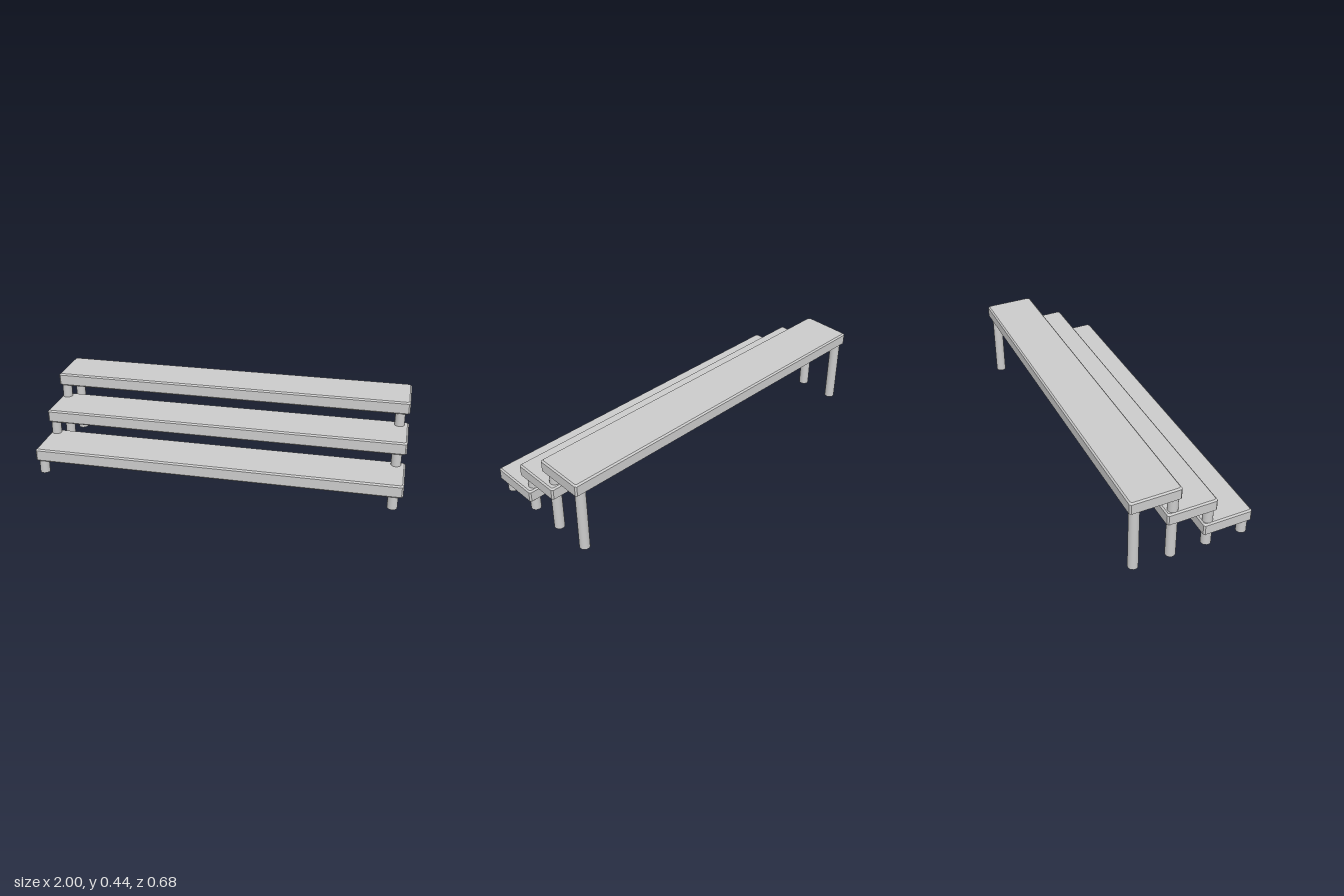
import * as THREE from 'three';

const LENGTH = 2, DEPTH = 0.273, THICK = 0.072, BEVEL = 0.008;

// Corner-cut rectangle, pulled in by an inset; scale 0 collapses it to the centre.
function ring(inset, y, scale = 1) {
  const hx = LENGTH / 2 - inset, hz = DEPTH / 2 - inset, c = BEVEL;
  return [
    [hx, -hz + c], [hx, hz - c], [hx - c, hz], [-hx + c, hz],
    [-hx, hz - c], [-hx, -hz + c], [-hx + c, -hz], [hx - c, -hz],
  ].map(([x, z]) => [x * scale, y, z * scale]);
}

// Bevelled plank, hollow from below, skinned ring by ring.
function plankGeometry() {
  const wall = BEVEL + 0.003, ceiling = THICK - 0.008;
  const rings = [
    ring(wall, ceiling, 0), ring(wall, ceiling), ring(wall, 0),
    ring(BEVEL, 0), ring(0, BEVEL), ring(0, THICK - BEVEL),
    ring(BEVEL, THICK), ring(BEVEL, THICK, 0),
  ];
  const pos = [];
  for (let r = 0; r < rings.length - 1; r++) {
    const a = rings[r], b = rings[r + 1];
    for (let i = 0; i < 8; i++) {
      const j = (i + 1) % 8;
      if (r < rings.length - 2) pos.push(...a[i], ...b[i], ...b[j]);
      else pos.push(...a[i], ...b[i], ...a[j]);
      if (r > 0 && r < rings.length - 2) pos.push(...a[i], ...b[j], ...a[j]);
    }
  }
  const geo = new THREE.BufferGeometry();
  geo.setAttribute('position', new THREE.Float32BufferAttribute(pos, 3));
  geo.computeVertexNormals();
  return geo;
}

export function createModel() {
  const group = new THREE.Group();
  group.name = 'tieredStand';
  const material = new THREE.MeshStandardMaterial({ color: 0xcccccc });

  // Three stepped planks: underside height and centre depth
  const plank = plankGeometry();
  [['lowerPlank', 0.074, 0.203], ['middlePlank', 0.218, -0.003], ['upperPlank', 0.363, -0.203]]
    .forEach(([name, y, z]) => {
      const mesh = new THREE.Mesh(plank, material);
      mesh.name = name;
      mesh.position.set(0, y, z);
      group.add(mesh);
    });

  // Round legs at both ends, each reaching the plank it carries
  const legs = [
    ['frontLeg', 0.14, 0.305], ['frontMiddleLeg', 0.284, 0.101],
    ['rearMiddleLeg', 0.428, -0.098], ['rearLeg', 0.428, -0.301],
  ];
  for (const [side, x] of [['left', 0.949], ['right', -0.966]]) {
    for (const [name, height, z] of legs) {
      const leg = new THREE.Mesh(new THREE.CylinderGeometry(0.027, 0.027, height, 20), material);
      leg.name = side + name[0].toUpperCase() + name.slice(1);
      leg.position.set(x, height / 2, z);
      group.add(leg);
    }
  }
  return group;
}
